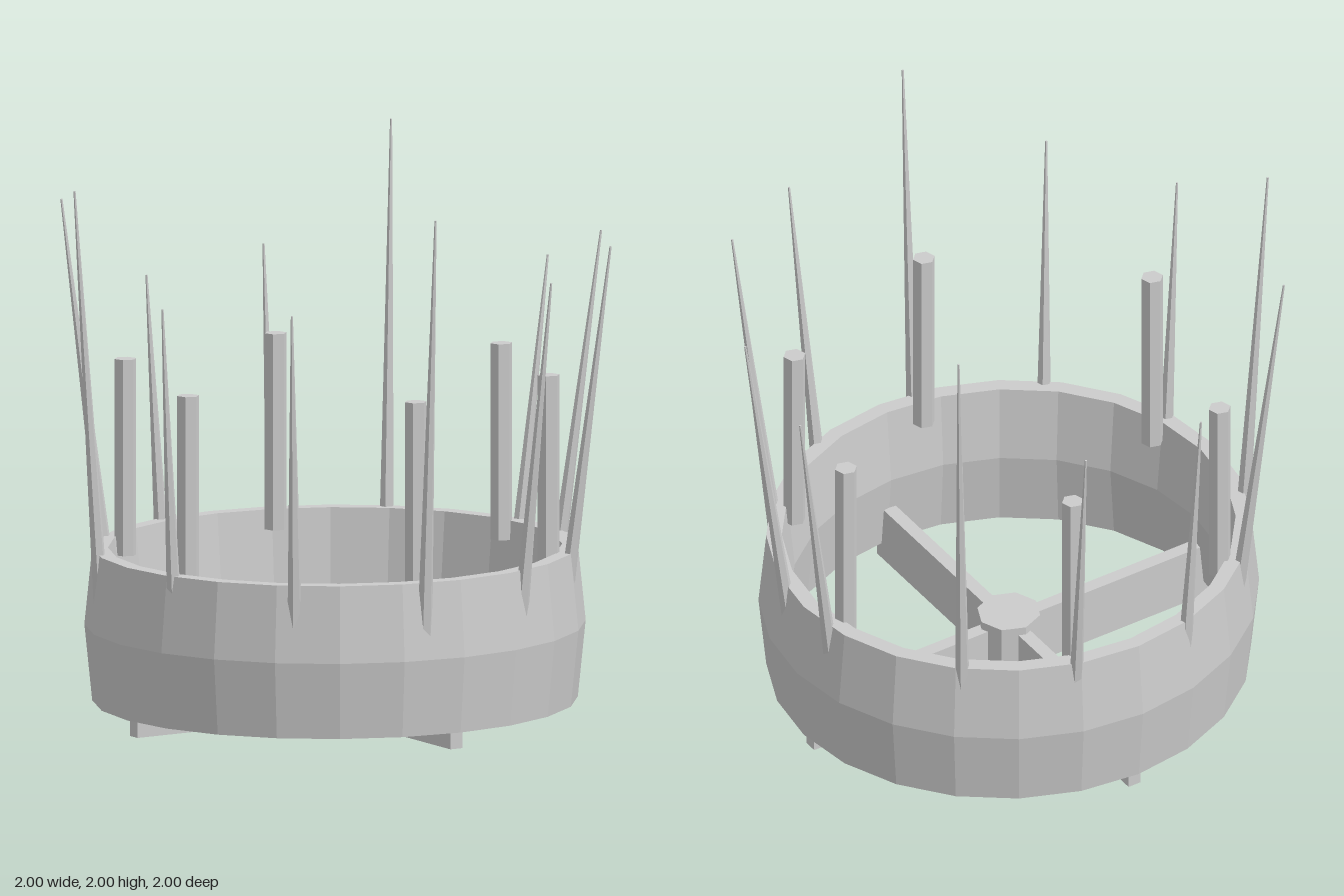
import * as THREE from 'three';

const STRETCH = 1.074; // the band is slightly longer in z than in x
const CENTRE_Z = 0.012;

export function createModel() {
  const model = new THREE.Group();
  model.name = 'spikedCrown';
  const material = new THREE.MeshStandardMaterial({ color: 0xcccccc, flatShading: true });

  const add = (name, geometry, x = 0, y = 0, z = 0) => {
    const mesh = new THREE.Mesh(geometry, material);
    mesh.name = name;
    mesh.position.set(x, y, z);
    model.add(mesh);
    return mesh;
  };

  // Band: a tall ring with a six-sided cross-section
  const band = new THREE.TorusGeometry(0.825, 0.055, 6, 24);
  band.rotateX(Math.PI / 2);
  band.scale(1, 5.72, STRETCH);
  add('band', band, 0, 0.364, CENTRE_Z);

  // Hub and crossed beams under the band
  const hub = new THREE.CylinderGeometry(0.113, 0.113, 0.27, 8);
  hub.scale(1, 1, STRETCH);
  add('hub', hub, 0, 0.135, CENTRE_Z);
  for (const side of [-1, 1]) {
    const beam = new THREE.BoxGeometry(1.65, 0.21, 0.05);
    beam.rotateY(side * Math.PI / 4);
    beam.scale(1, 1, STRETCH);
    add('crossBeam', beam, 0, 0.135, CENTRE_Z);
  }

  // Six posts standing against the inside of the band: [x, z]
  const posts = [
    [-0.38, -0.705], [0.445, -0.665], [0.767, -0.01],
    [0.445, 0.68], [-0.367, 0.727], [-0.767, -0.027],
  ];
  const post = new THREE.CylinderGeometry(0.04, 0.04, 0.7, 6);
  for (const [x, z] of posts) add('post', post, x, 0.92, z);

  // Leaning spikes: x and z at the band's top edge, then the tip
  const spikes = [
    [-0.02, -0.89, -0.03, 2.0, -1.0],
    [0.5, -0.73, 0.57, 1.56, -0.855],
    [0.7, -0.51, 0.82, 1.695, -0.605],
    [0.85, -0.01, 0.99, 1.735, -0.015],
    [0.775, 0.395, 0.88, 1.67, 0.44],
    [0.5, 0.755, 0.555, 1.945, 0.845],
    [0.062, 0.92, 0.07, 1.61, 0.995],
    [-0.405, 0.8, -0.43, 1.595, 0.855],
    [-0.768, 0.4, -0.84, 1.94, 0.455],
    [-0.848, -0.025, -1.0, 1.83, -0.035],
    [-0.735, -0.435, -0.79, 1.5, -0.46],
    [-0.41, -0.78, -0.46, 1.56, -0.865],
  ];
  const up = new THREE.Vector3(0, 1, 0);
  for (const [x, z, tx, ty, tz] of spikes) {
    const tip = new THREE.Vector3(tx, ty, tz);
    const edge = new THREE.Vector3(x, 0.635, z);
    // Carry the axis on down into the band
    const foot = tip.clone().lerp(edge, (ty - 0.45) / (ty - 0.635));
    const axis = tip.clone().sub(foot);
    const spike = add('spike', new THREE.CylinderGeometry(0.004, 0.028, axis.length(), 6));
    spike.position.copy(foot).add(tip).multiplyScalar(0.5);
    spike.quaternion.setFromUnitVectors(up, axis.normalize());
  }

  return model;
}
